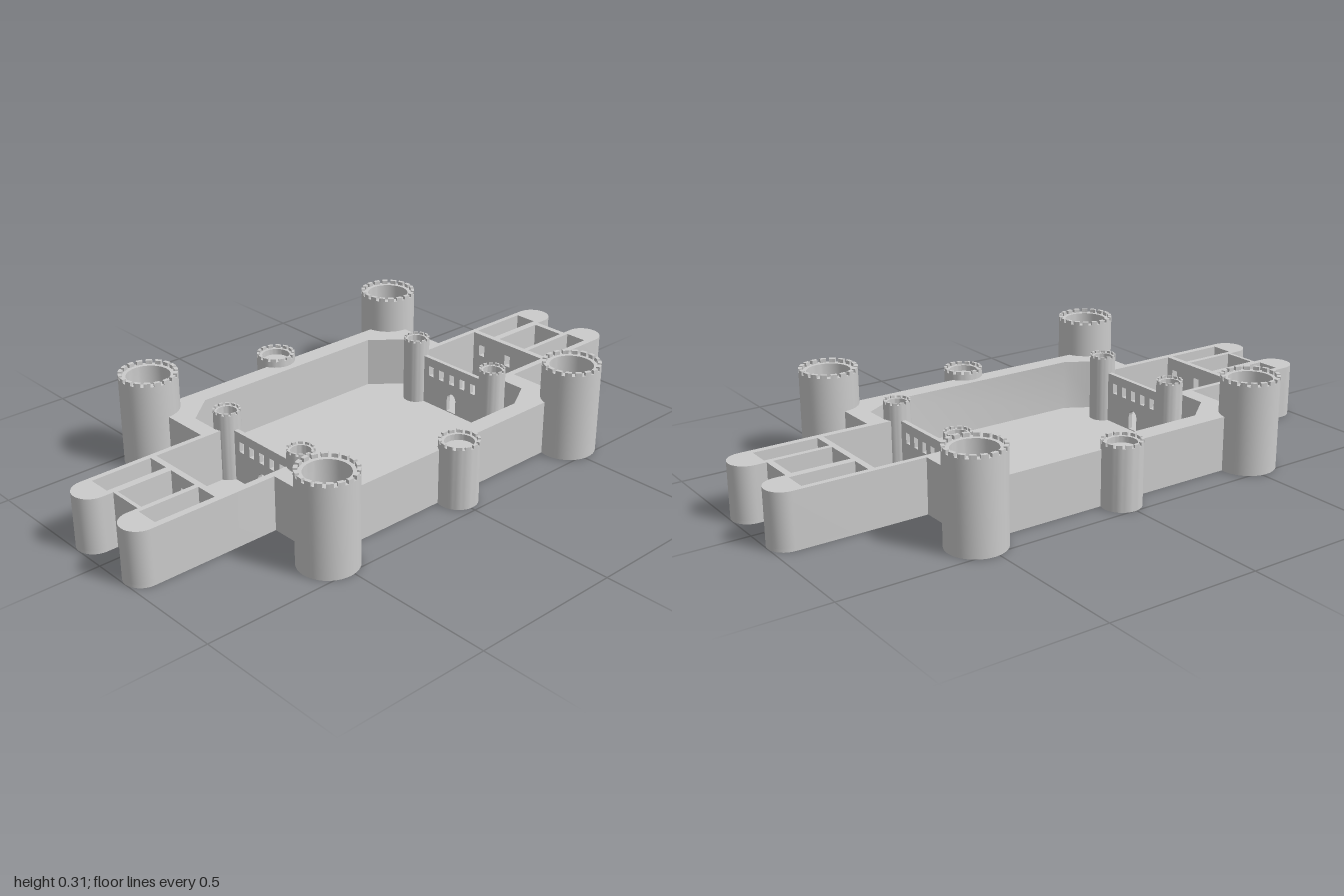
import * as THREE from 'three';
import { toCreasedNormals } from 'three/addons/utils/BufferGeometryUtils.js';

const WALL = 0.18, FLOOR = 0.01;
const grey = new THREE.MeshStandardMaterial({ color: 0xcccccc });

function part(parent, name, geometry) {
  const mesh = new THREE.Mesh(toCreasedNormals(geometry, 0.6), grey);
  mesh.name = name;
  parent.add(mesh);
  return mesh;
}

const points = (list) => list.map(([x, y]) => new THREE.Vector2(x, y));

// Closed plan loop from its +x half; the -x half is mirrored and shifted
const bothSides = (half, shift) =>
  points([...half, ...half.map(([x, z]) => [-x - shift, z]).reverse()]);

// Plan shape (x, z) raised from y0 to y1
function raise(shape, y0, y1) {
  const g = new THREE.ExtrudeGeometry(shape, { depth: y1 - y0, bevelEnabled: false, curveSegments: 6 });
  return g.rotateX(Math.PI / 2).translate(0, y1, 0);
}

// Half-round end of a wing arm
function roundEnd(x, z, r) {
  const list = [];
  for (let i = 0; i <= 16; i++) {
    const a = -Math.PI / 2 + (Math.PI * i) / 16;
    list.push([x + r * Math.cos(a), z + r * Math.sin(a)]);
  }
  return list;
}

function rectangle(cx, y0, w, h) {
  return new THREE.Path(points([
    [cx - w / 2, y0], [cx + w / 2, y0], [cx + w / 2, y0 + h], [cx - w / 2, y0 + h],
  ]));
}

// Cross wall spanning the wing room, pierced by the given openings
function crossWall(parent, name, x0, x1, holes) {
  const s = new THREE.Shape(points([[-0.15, FLOOR], [0.166, FLOOR], [0.166, WALL], [-0.15, WALL]]));
  s.holes.push(...holes);
  const g = new THREE.ExtrudeGeometry(s, { depth: x1 - x0, bevelEnabled: false });
  part(parent, name, g.rotateY(-Math.PI / 2).translate(x1, 0, 0));
}

// Round tower with a sunken top and a ring of merlons
function tower(parent, name, x, z, R, r, height, count, merlon) {
  const group = new THREE.Group();
  group.name = name;
  group.position.set(x, 0, z);
  const top = height - merlon;
  const deck = Math.min(WALL, top - 0.015);
  part(group, 'towerBody', new THREE.LatheGeometry(
    points([[0, 0], [R, 0], [R, top], [r, top], [r, deck], [0, deck]]), 48));
  const inner = (R + r) / 2;
  const shapes = [];
  for (let i = 0; i < count; i++) {
    const a = (i / count) * Math.PI * 2, b = a + (0.66 / count) * Math.PI * 2;
    const s = new THREE.Shape();
    s.absarc(0, 0, R, a, b, false);
    s.absarc(0, 0, inner, b, a, true);
    s.closePath();
    shapes.push(s);
  }
  part(group, 'merlons', raise(shapes, top, height));
  parent.add(group);
}

export function createModel() {
  const model = new THREE.Group();
  model.name = 'fortress';

  // Outline of the court and the two-armed wings
  const outline = bothSides([
    [0.513, -0.414], [0.513, -0.165],
    ...roundEnd(0.942, -0.1075, 0.0575),
    [0.905, -0.05], [0.905, 0.07],
    ...roundEnd(0.942, 0.1275, 0.0575),
    [0.513, 0.185], [0.513, 0.393],
  ], 0);

  // Open interior: chamfered court, wing rooms and three end cells
  const interior = bothSides([
    [0.35, -0.35], [0.45, -0.267], [0.45, -0.165], [0.4, -0.165], [0.4, -0.147],
    [0.905, -0.147], [0.905, -0.07], [0.695, -0.07],
    [0.695, -0.045], [0.885, -0.045], [0.885, 0.07], [0.695, 0.07],
    [0.695, 0.087], [0.905, 0.087], [0.905, 0.163],
    [0.4, 0.163], [0.4, 0.185], [0.45, 0.185], [0.45, 0.275], [0.35, 0.333],
  ], 0.008);

  part(model, 'floor', raise(new THREE.Shape(outline), 0, FLOOR));
  const walls = new THREE.Shape(outline);
  walls.holes.push(new THREE.Path(interior));
  part(model, 'walls', raise(walls, FLOOR, WALL));

  // Pierced screens facing the court, and partitions before the cells
  const windows = [-2, -1, 0, 1, 2].map((i) => rectangle(0.01 + i * 0.048, 0.115, 0.022, 0.035));
  const door = new THREE.Path();
  door.moveTo(-0.01, FLOOR + 0.003);
  door.lineTo(0.03, FLOOR + 0.003);
  door.lineTo(0.03, 0.06);
  door.absarc(0.01, 0.06, 0.02, 0, Math.PI, false);
  door.closePath();
  const cellWindows = [-0.108, 0.012, 0.125].map((z) => rectangle(z, 0.1, 0.025, 0.04));
  crossWall(model, 'rightScreen', -0.42, -0.405, [...windows, door]);
  crossWall(model, 'leftScreen', 0.4, 0.415, [...windows, door]);
  crossWall(model, 'rightPartition', -0.71, -0.69, cellWindows);
  crossWall(model, 'leftPartition', 0.675, 0.695, cellWindows);

  // Corner, middle and gate towers
  for (const s of [-1, 1]) {
    const side = s < 0 ? 'right' : 'left';
    for (const z of [-0.425, 0.42]) {
      tower(model, side + 'CornerTower', s * 0.516, z, 0.094, 0.07, 0.305, 18, 0.012);
    }
    for (const z of [-0.163, 0.186]) {
      tower(model, side + 'GateTower', s < 0 ? -0.413 : 0.404, z, 0.043, 0.031, 0.238, 12, 0.008);
    }
  }
  for (const z of [-0.438, 0.42]) {
    tower(model, 'middleTower', 0.007, z, 0.064, 0.046, 0.21, 14, 0.01);
  }
  return model;
}
